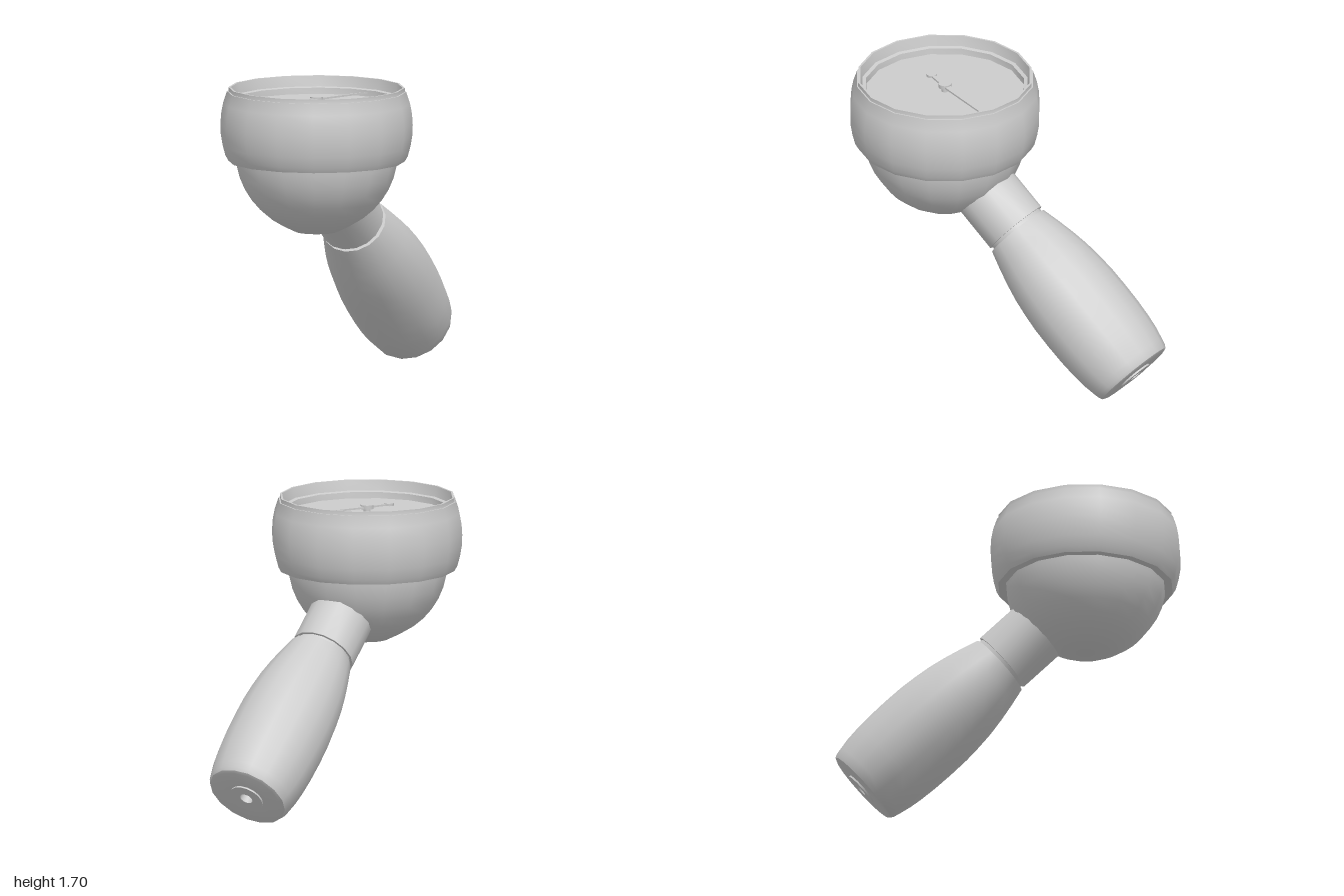
import * as THREE from 'three';
import { toCreasedNormals } from 'three/addons/utils/BufferGeometryUtils.js';

const SIDES = 16;
const material = new THREE.MeshStandardMaterial({ color: 0xcccccc, side: THREE.DoubleSide });

function addMesh(parent, name, geometry) {
  const mesh = new THREE.Mesh(toCreasedNormals(geometry, 0.6), material);
  mesh.name = name;
  parent.add(mesh);
  return mesh;
}

// Profile is [radius, height], running upward along the outside
function turned(parent, name, profile, sides = SIDES) {
  return addMesh(parent, name,
    new THREE.LatheGeometry(profile.map(([r, y]) => new THREE.Vector2(r, y)), sides));
}

export function createModel() {
  const model = new THREE.Group();
  model.name = 'dialGauge';

  // Gauge head, standing on its own vertical axis
  const head = new THREE.Group();
  head.name = 'gaugeHead';
  head.position.set(0, 0, 0.455);
  model.add(head);

  // Rounded bowl with a small flat bottom
  const bowlR = 0.46, bowlY = 1.34;
  const bowl = [[0, 0.885], [0.12, 0.887]];
  for (let i = 0; i <= 7; i++) {
    const a = 0.45 + (i / 7) * (Math.PI / 2 - 0.45);
    bowl.push([bowlR * Math.sin(a), bowlY - bowlR * Math.cos(a)]);
  }
  turned(head, 'bowl', bowl);

  // Barrel-shaped casing with a thin lip and a stepped inner wall
  turned(head, 'casing', [
    [0.44, 1.29], [0.5, 1.29], [0.517, 1.32], [0.533, 1.38], [0.543, 1.44], [0.545, 1.5],
    [0.541, 1.56], [0.53, 1.62], [0.508, 1.687], [0.5, 1.687], [0.5, 1.71],
    [0.488, 1.71], [0.476, 1.65], [0.455, 1.645], [0.452, 1.61],
  ]);
  const dial = addMesh(head, 'dialFace', new THREE.CylinderGeometry(0.455, 0.455, 0.02, SIDES));
  dial.position.y = 1.6;

  // Needle with a tapered pointer, a tail disc and a pivot
  const needle = new THREE.Group();
  needle.name = 'needle';
  needle.position.y = 1.61;
  needle.rotation.y = -0.434;
  head.add(needle);
  const outline = new THREE.Shape([
    [0, 0.378], [-0.018, 0.03], [-0.011, -0.14], [0.011, -0.14], [0.018, 0.03],
  ].map(([x, y]) => new THREE.Vector2(x, y)));
  const pointer = new THREE.ExtrudeGeometry(outline, { depth: 0.01, bevelEnabled: false });
  pointer.rotateX(-Math.PI / 2);
  addMesh(needle, 'pointer', pointer).position.y = 0.03;
  const tail = addMesh(needle, 'tailDisc', new THREE.CylinderGeometry(0.028, 0.028, 0.014, 12));
  tail.position.set(0, 0.035, 0.148);
  turned(needle, 'pivot', [
    [0.02, 0], [0.02, 0.025], [0.037, 0.025], [0.037, 0.048], [0, 0.048],
  ], 12);

  // Handle assembly, built along its axis and tilted back and down
  const arm = new THREE.Group();
  arm.name = 'handleAssembly';
  arm.position.set(0, 0.865, -0.048);
  arm.rotation.x = Math.atan2(-0.76, -0.65);
  model.add(arm);

  turned(arm, 'collar', [
    [0, -0.4], [0.186, -0.4], [0.186, -0.022], [0.172, -0.022], [0.172, 0.02],
  ]);

  // Swelling grip with a rounded end, raised disc and screw hole
  turned(arm, 'grip', [
    [0.165, 0], [0.188, 0], [0.215, 0.1], [0.239, 0.2], [0.258, 0.3], [0.27, 0.4],
    [0.278, 0.5], [0.28, 0.62], [0.278, 0.74], [0.272, 0.84], [0.263, 0.92],
    [0.249, 0.99], [0.241, 1.025], [0.231, 1.045], [0.212, 1.052],
    [0.1, 1.052], [0.1, 1.062], [0.038, 1.062], [0.038, 0.96], [0, 0.96],
  ]).position.x = 0.005;

  return model;
}
